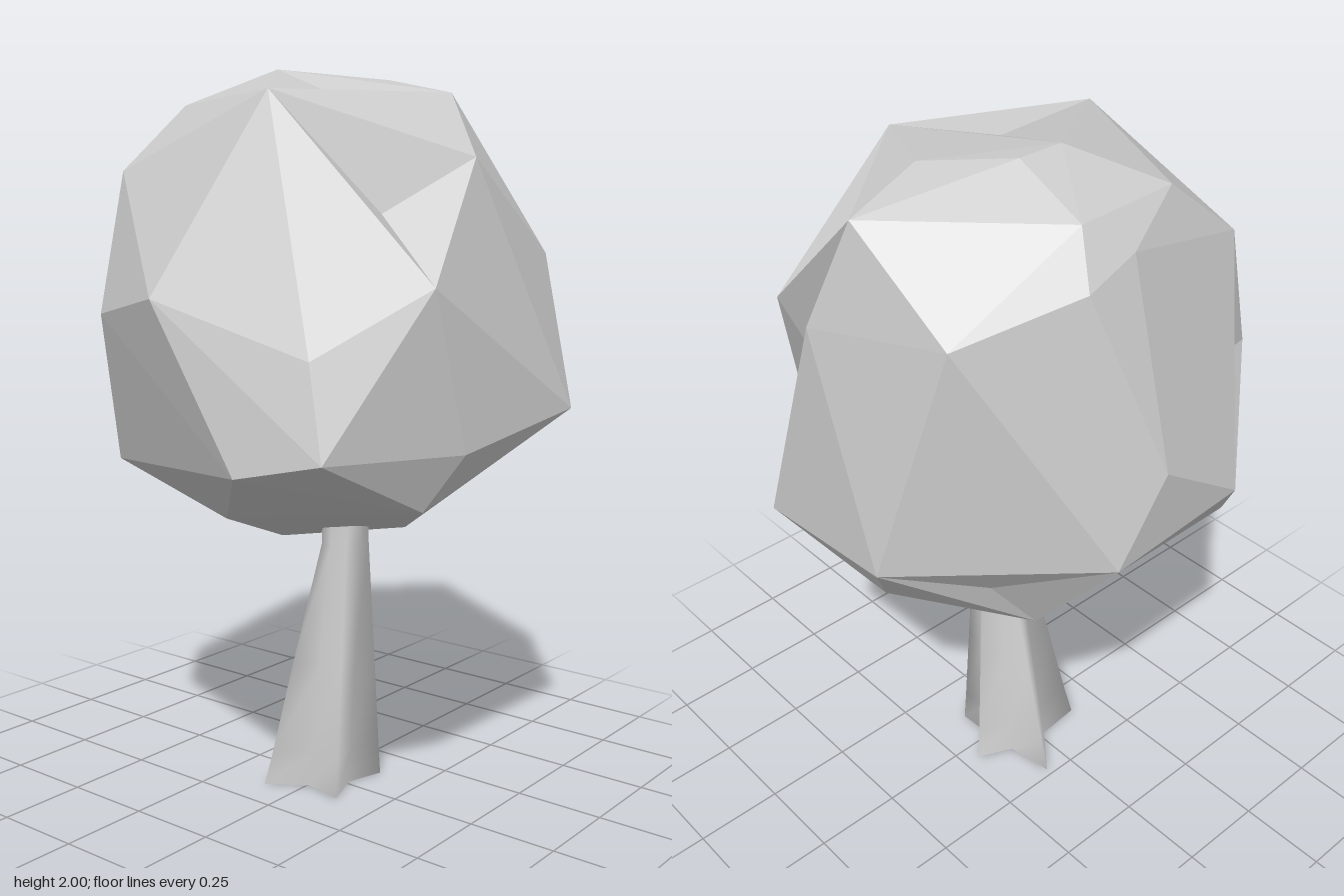
import * as THREE from 'three';
import { ConvexGeometry } from 'three/addons/geometries/ConvexGeometry.js';

const grey = new THREE.MeshStandardMaterial({ color: 0xcccccc, side: THREE.DoubleSide });
grey.name = 'light grey';

const v = (x, y, z) => new THREE.Vector3(x, y, z);

// Crown corners that border a hollow
const topBack = v(0.04, 2.0, -0.2);
const topSide = v(0.54, 1.92, -0.06);
const topFront = v(0.14, 1.92, 0.31);
const topRight = v(-0.37, 1.91, 0.12);
const brow = v(0.03, 1.75, 0.46);
const shoulder = v(0.44, 1.5, 0.43);
const cheek = v(-0.26, 1.44, 0.54);
const sideUpper = v(0.61, 1.64, 0.04);
const sideLower = v(0.62, 1.0, 0.27);
const sideBack = v(0.6, 1.01, -0.15);
const nose = v(0.29, 1.1, 0.605);
const backLow = v(0.19, 1.06, -0.58);
const backUnder = v(0.22, 0.75, -0.32);
const backRightHigh = v(-0.37, 1.72, -0.39);
const backRightMid = v(-0.49, 1.35, -0.36);
const backRightLow = v(-0.21, 1.12, -0.6);

const crownCorners = [
  topBack, topSide, topFront, topRight, brow, shoulder, cheek,
  sideUpper, sideLower, sideBack, nose, backLow, backUnder,
  backRightHigh, backRightMid, backRightLow,
  // top
  v(0.17, 2.0, -0.2), v(0.32, 1.98, -0.02), v(0.17, 1.91, -0.4), v(-0.15, 1.9, -0.37),
  v(0.21, 1.78, -0.47), v(0.06, 1.83, -0.46),
  // sides
  v(0.49, 1.68, -0.32), v(-0.625, 1.41, -0.04), v(0.07, 1.31, -0.61), v(-0.33, 0.93, -0.47),
  v(-0.54, 1.28, 0.385), v(-0.575, 1.05, 0.45), v(-0.62, 1.0, 0.22), v(-0.15, 1.03, 0.56),
  // underside
  v(-0.23, 0.89, 0.49), v(-0.35, 0.82, -0.05), v(-0.2, 0.8, -0.25),
  v(0.1, 0.66, -0.24), v(0.275, 0.7, 0.08), v(0.49, 0.82, -0.03),
];

// Hollows: facets lying within the rim are replaced by a fan to the deepest point
const hollows = [
  { rim: [topFront, shoulder, topSide], deep: v(0.3, 1.71, 0.16) },
  { rim: [shoulder, nose, sideLower, sideUpper, topSide], deep: v(0.41, 1.34, 0.3) },
  { rim: [topRight, cheek, brow], deep: v(-0.19, 1.61, 0.33) },
  { rim: [topRight, topFront, topBack], deep: v(-0.05, 1.9, 0.11) },
  { rim: [sideBack, backLow, backUnder], deep: v(0.35, 0.92, -0.29) },
  { rim: [backRightHigh, backRightMid, backRightLow], deep: v(-0.33, 1.38, -0.41) },
];

function createCrown() {
  const hull = new ConvexGeometry(crownCorners).getAttribute('position');
  const points = [];
  const removed = hollows.map(() => []);
  const onRim = (p, rim) => rim.some((q) => q.distanceTo(p) < 0.001);
  for (let i = 0; i < hull.count; i += 3) {
    const face = [0, 1, 2].map((k) => v().fromBufferAttribute(hull, i + k));
    const hollow = hollows.findIndex(({ rim }) => face.every((p) => onRim(p, rim)));
    if (hollow < 0) points.push(...face);
    else face.forEach((p, k) => removed[hollow].push([p, face[(k + 1) % 3]]));
  }
  // Fan from the outer edges of each removed patch
  removed.forEach((edges, h) => {
    for (const [a, b] of edges) {
      const inner = edges.some(([c, d]) => c.equals(b) && d.equals(a));
      if (!inner) points.push(a, b, hollows[h].deep);
    }
  });
  const geometry = new THREE.BufferGeometry().setFromPoints(points);
  geometry.computeVertexNormals();
  return geometry;
}

// Root tips (x, z) around the trunk foot
const rootTips = [[0.08, -0.23], [0.2, -0.05], [0.12, 0.11], [-0.1, 0.12], [-0.15, -0.1]];

function createTrunk() {
  const foot = [];
  rootTips.forEach(([x, z], i) => {
    const [nx, nz] = rootTips[(i + 1) % rootTips.length];
    foot.push([x, z], [0.02 + ((x + nx) / 2 - 0.02) * 0.68, (z + nz) / 2 * 0.68]);
  });
  const n = foot.length;
  const topAngle = (i) => Math.atan2(foot[i][1], foot[i][0] - 0.02);
  // Height and how far the section has changed from star foot to round top
  const levels = [[0, 0], [0.1, 0.15], [0.35, 0.48], [0.7, 0.97], [0.85, 1]];
  const positions = [];
  const index = [];
  levels.forEach(([y, t], row) => {
    for (let i = 0; i < n; i++) {
      const x = 0.03 + 0.07 * Math.cos(topAngle(i));
      const z = 0.05 + 0.06 * Math.sin(topAngle(i));
      positions.push(THREE.MathUtils.lerp(foot[i][0], x, t), y, THREE.MathUtils.lerp(foot[i][1], z, t));
      if (row === 0) continue;
      const j = (i + 1) % n;
      const [a, b] = [(row - 1) * n + i, (row - 1) * n + j];
      index.push(a, a + n, b, b, a + n, b + n);
    }
  });
  const geometry = new THREE.BufferGeometry();
  geometry.setAttribute('position', new THREE.Float32BufferAttribute(positions, 3));
  geometry.setIndex(index);
  geometry.computeVertexNormals();
  return geometry;
}

export function createModel() {
  const tree = new THREE.Group();
  tree.name = 'tree';
  const crown = new THREE.Mesh(createCrown(), grey);
  crown.name = 'crown';
  const trunk = new THREE.Mesh(createTrunk(), grey);
  trunk.name = 'trunk';
  tree.add(crown, trunk);
  return tree;
}
